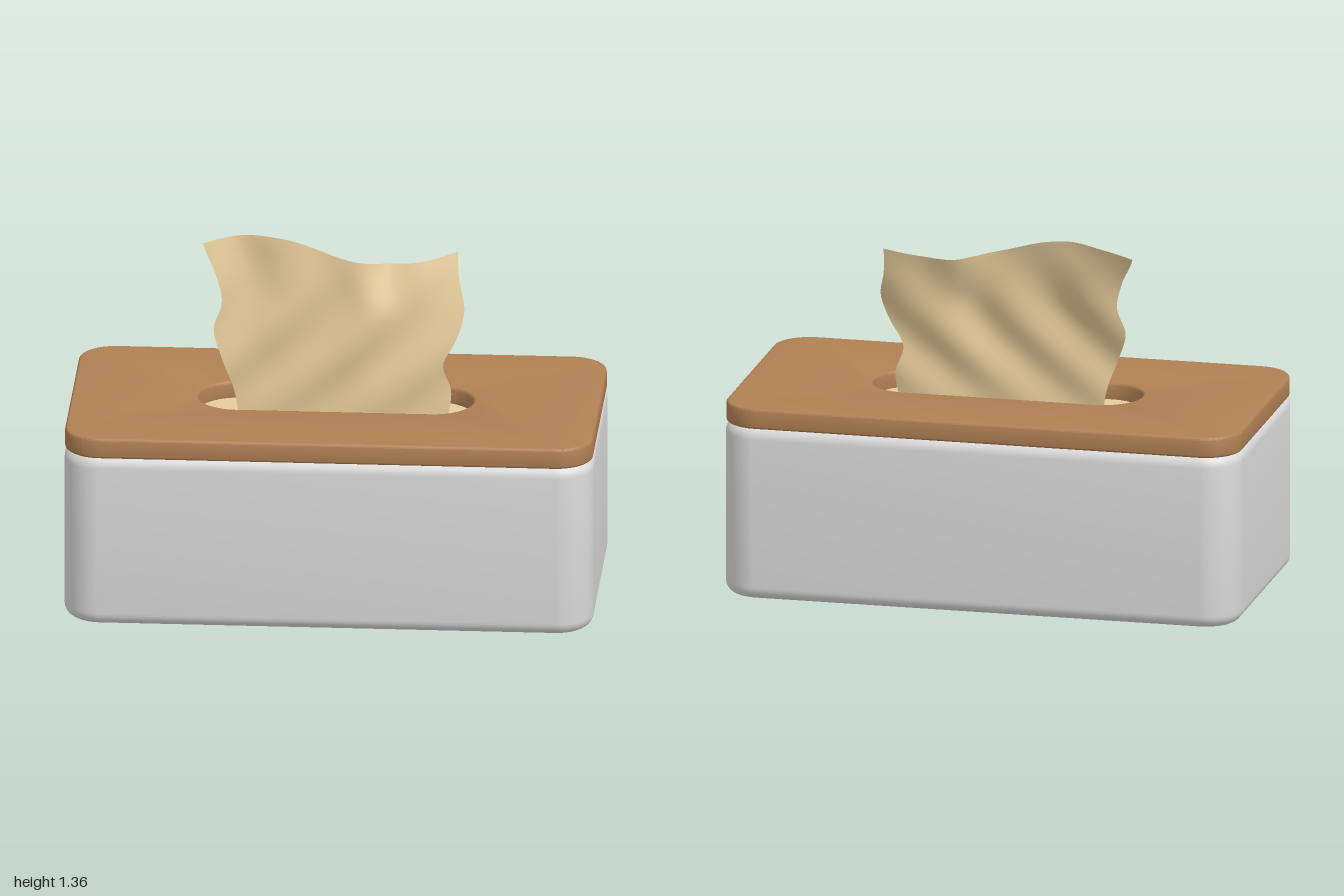
import * as THREE from 'three';
import { toCreasedNormals } from 'three/addons/utils/BufferGeometryUtils.js';

// Rounded rectangle centred on the origin, as a Shape or a hole Path
function roundedRect(Type, halfX, halfY, r) {
  const p = new Type();
  p.absarc(halfX - r, halfY - r, r, 0, Math.PI / 2);
  p.absarc(r - halfX, halfY - r, r, Math.PI / 2, Math.PI);
  p.absarc(r - halfX, r - halfY, r, Math.PI, Math.PI * 1.5);
  p.absarc(halfX - r, r - halfY, r, Math.PI * 1.5, Math.PI * 2);
  p.closePath();
  return p;
}

// Upright slab from y0 to y1 with rounded rims, keeping the outline's full size
function slab(shape, y0, y1, bevel, bevelSegments) {
  const geo = new THREE.ExtrudeGeometry(shape, {
    depth: y1 - y0 - 2 * bevel,
    bevelEnabled: bevel > 0,
    bevelThickness: bevel,
    bevelSize: bevel,
    bevelOffset: -bevel,
    bevelSegments,
    curveSegments: 14,
  });
  geo.rotateX(-Math.PI / 2);
  geo.translate(0, y0 + bevel, 0);
  return toCreasedNormals(geo, 0.6);
}

// Smooth 2D curve through a few points
const curve = (pts) => new THREE.SplineCurve(pts.map(([a, b]) => new THREE.Vector2(a, b)));

// Pulled-up tissue: wavy outline, leaning back and rippling more towards the top
function tissueGeometry() {
  const base = 0.68;
  const left = curve([[-0.37, base], [-0.39, 0.76], [-0.43, 0.85], [-0.465, 0.97], [-0.435, 1.12], [-0.46, 1.22], [-0.51, 1.315]]);
  const right = curve([[0.425, base], [0.435, 0.78], [0.405, 0.92], [0.455, 1.04], [0.482, 1.16], [0.46, 1.24], [0.452, 1.3]]);
  const top = curve([[-0.51, 1.315], [-0.4, 1.345], [-0.28, 1.36], [-0.15, 1.345], [0, 1.3], [0.12, 1.27], [0.22, 1.26], [0.34, 1.272], [0.452, 1.3]]);
  const lean = curve([[0, -0.12], [0.1, -0.125], [0.25, -0.075], [0.4, -0.06], [0.52, -0.035], [0.72, -0.09], [0.85, -0.1], [1, -0.13]]);
  const geo = new THREE.PlaneGeometry(1, 1, 60, 40);
  const pos = geo.attributes.position;
  for (let i = 0; i < pos.count; i++) {
    const u = pos.getX(i) + 0.5;
    const t = pos.getY(i) + 0.5;
    const l = left.getPoint(t);
    const r = right.getPoint(t);
    const rim = top.getPoint(u);
    const chord = THREE.MathUtils.lerp(-0.51, 0.452, u);
    const x = THREE.MathUtils.lerp(l.x, r.x, u) + (rim.x - chord) * t;
    const y = THREE.MathUtils.lerp(base, rim.y, t);
    // Diagonal folds, fading out at the rim
    const fold = (0.005 + 0.03 * t * (1 - t)) * Math.sin(17 * x - 11 * y + 2.2 * Math.sin(4 * y));
    pos.setXYZ(i, x, y, lean.getPoint(u).y * t ** 2.1 + fold + 0.004);
  }
  geo.computeVertexNormals();
  return geo;
}

export function createModel() {
  const group = new THREE.Group();
  const shell = new THREE.MeshStandardMaterial({ color: 0xdadada });
  shell.name = 'pale grey shell';
  const wood = new THREE.MeshStandardMaterial({ color: 0xb08054 });
  wood.name = 'warm wood';
  const paper = new THREE.MeshStandardMaterial({ color: 0xe6cb9a, side: THREE.DoubleSide });
  paper.name = 'cream paper';

  function add(name, geometry, material) {
    const mesh = new THREE.Mesh(geometry, material);
    mesh.name = name;
    group.add(mesh);
  }

  // Box body with soft edges
  add('boxBody', slab(roundedRect(THREE.Shape, 1, 0.52, 0.14), 0, 0.68, 0.05, 8), shell);

  // Lid with a long rounded slot
  const lidShape = roundedRect(THREE.Shape, 0.998, 0.517, 0.14);
  lidShape.holes.push(roundedRect(THREE.Path, 0.52, 0.152, 0.152));
  add('lid', slab(lidShape, 0.67, 0.75, 0.01, 3), wood);

  // Top sheet of the stack seen through the slot
  add('paperStack', slab(roundedRect(THREE.Shape, 0.53, 0.16, 0.16), 0.677, 0.685, 0, 1), paper);

  // Tissue standing out of the slot
  add('tissue', tissueGeometry(), paper);

  return group;
}
